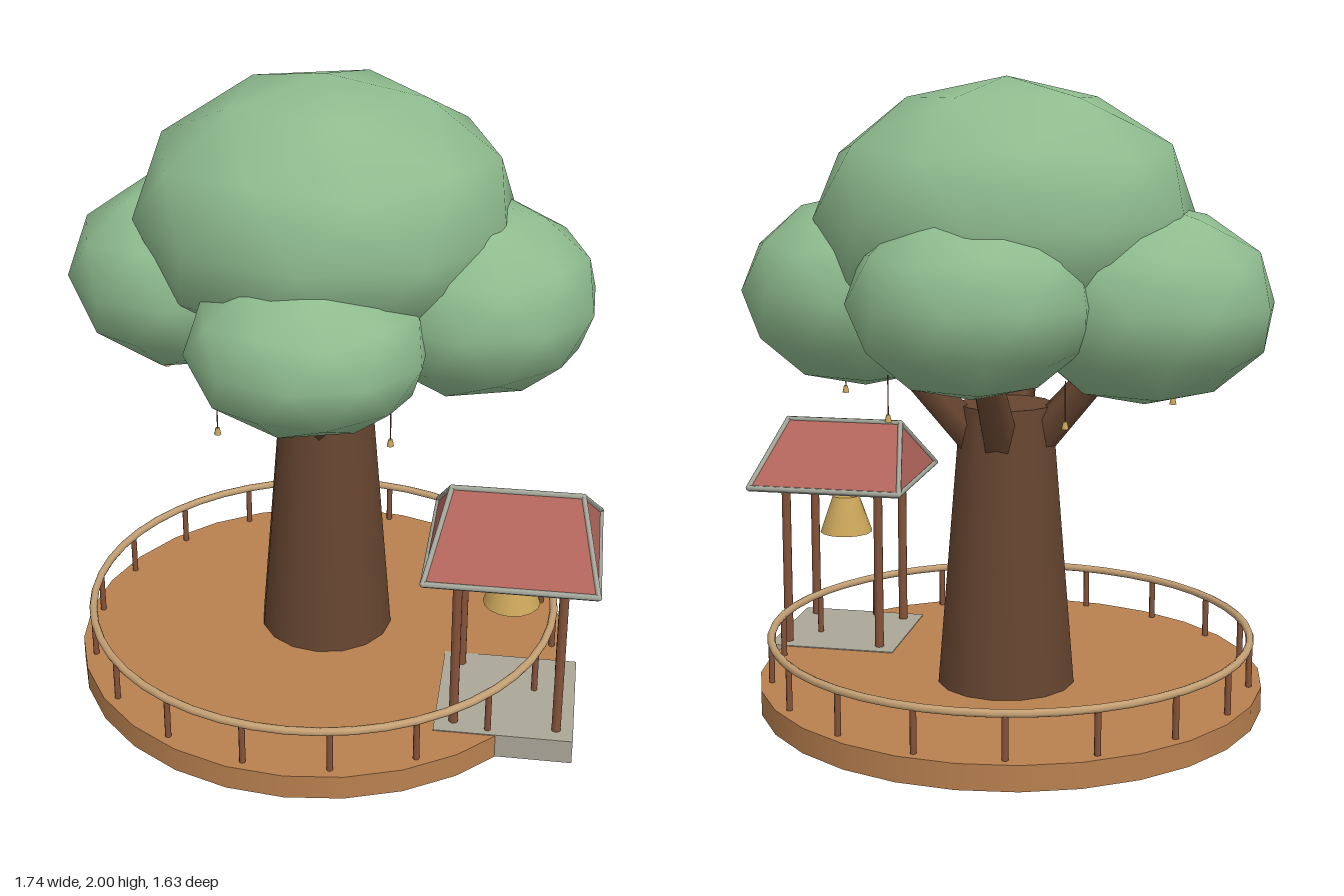
import * as THREE from 'three';

const mat = (name, color, side = THREE.FrontSide) => {
  const m = new THREE.MeshStandardMaterial({ color, side });
  m.name = name;
  return m;
};

export function createModel() {
  const leaf = mat('leaf green', 0x8fbc8f);
  const bark = mat('bark brown', 0x664530);
  const deck = mat('deck brown', 0xb9804f);
  const railWood = mat('pale rail wood', 0xc4a074);
  const postWood = mat('post wood', 0x85533a);
  const stone = mat('stone grey', 0xaba698);
  const roofRed = mat('roof red', 0xb0645a, THREE.DoubleSide);
  const trimGrey = mat('trim grey', 0xa5a89c);
  const gold = mat('bell gold', 0xc9a55a, THREE.DoubleSide);

  const model = new THREE.Group();
  model.name = 'treeDeckWithBellPavilion';

  const add = (name, geo, material, x = 0, y = 0, z = 0, parent = model) => {
    const m = new THREE.Mesh(geo, material);
    m.name = name;
    m.position.set(x, y, z);
    parent.add(m);
    return m;
  };
  // Cylinder running between two points
  const rod = (name, a, b, r0, r1, sides, material, parent = model) => {
    const p = new THREE.Vector3(...a), q = new THREE.Vector3(...b);
    const d = q.clone().sub(p);
    const m = add(name, new THREE.CylinderGeometry(r1, r0, d.length(), sides), material,
      ...p.clone().add(q).multiplyScalar(0.5).toArray(), parent);
    m.quaternion.setFromUnitVectors(new THREE.Vector3(0, 1, 0), d.normalize());
    return m;
  };

  // Round deck
  const cx = -0.045;
  add('deck', new THREE.CylinderGeometry(0.815, 0.815, 0.08, 28), deck, cx, 0.04, 0);

  // Railing
  const railing = new THREE.Group();
  railing.name = 'railing';
  model.add(railing);
  add('handrail', new THREE.TorusGeometry(0.775, 0.013, 8, 48).rotateX(Math.PI / 2), railWood, cx, 0.22, 0, railing);
  for (let i = 0; i < 18; i++) {
    const a = (i * Math.PI) / 9;
    add('railPost', new THREE.CylinderGeometry(0.01, 0.01, 0.14, 8), postWood,
      cx + 0.775 * Math.cos(a), 0.145, 0.775 * Math.sin(a), railing);
  }

  // Trunk and four spreading branches
  const tz = -0.07;
  add('trunk', new THREE.CylinderGeometry(0.147, 0.222, 0.91, 16), bark, cx, 0.53, tz);
  for (const deg of [90, -25, 190, -90]) {
    const a = THREE.MathUtils.degToRad(deg), c = Math.cos(a), s = Math.sin(a);
    rod('branch', [cx + 0.11 * c, 0.88, tz + 0.11 * s], [cx + 0.38 * c, 1.19, tz + 0.38 * s],
      0.06, 0.045, 5, bark);
  }

  // Canopy: faceted balls with a corner pointing straight up
  const ball = new THREE.IcosahedronGeometry(1, 1).rotateZ(-Math.atan(2 / (1 + Math.sqrt(5))));
  const canopy = new THREE.Group();
  canopy.name = 'canopy';
  model.add(canopy);
  for (const [name, pos, size] of [
    ['crown', [cx, 1.57, -0.07], [0.6, 0.43, 0.57]],
    ['rightFoliage', [-0.49, 1.32, -0.14], [0.4, 0.31, 0.38]],
    ['leftFoliage', [0.425, 1.33, -0.03], [0.39, 0.31, 0.385]],
    ['frontFoliage', [cx, 1.27, 0.31], [0.373, 0.26, 0.335]],
    ['backFoliage', [-0.01, 1.345, -0.415], [0.375, 0.29, 0.36]],
  ]) add(name, ball, leaf, ...pos, canopy).scale.set(...size);

  // Six little chimes hanging in a ring below the leaves
  for (let i = 0; i < 6; i++) {
    const a = (i * Math.PI) / 3;
    const x = cx + 0.525 * Math.cos(a), z = tz + 0.525 * Math.sin(a);
    add('chimeString', new THREE.CylinderGeometry(0.002, 0.002, 0.12, 5), postWood, x, 1.08, z);
    add('chime', new THREE.CylinderGeometry(0.006, 0.011, 0.022, 8), gold, x, 1.011, z);
  }

  // Bell pavilion
  const pavilion = new THREE.Group();
  pavilion.name = 'bellPavilion';
  pavilion.position.set(0.6, 0, 0.308);
  model.add(pavilion);
  add('stoneBase', new THREE.BoxGeometry(0.435, 0.081, 0.435), stone, -0.003, 0.0425, 0, pavilion);
  for (const x of [-0.161, 0.161])
    for (const z of [-0.161, 0.161])
      add('pavilionPost', new THREE.CylinderGeometry(0.015, 0.015, 0.56, 10), postWood, x, 0.36, z, pavilion);

  // Hipped roof with a short ridge along x
  const e = 0.26, r = 0.2, y0 = 0.64, y1 = 0.83;
  const A = [-e, y0, e], B = [e, y0, e], C = [e, y0, -e], D = [-e, y0, -e];
  const L = [-r, y1, 0], R = [r, y1, 0];
  const roof = new THREE.BufferGeometry();
  roof.setAttribute('position', new THREE.Float32BufferAttribute(
    [A, B, R, A, R, L, C, D, L, C, L, R, B, C, R, D, A, L].flat(), 3));
  roof.computeVertexNormals();
  add('roof', roof, roofRed, 0, 0, 0, pavilion);
  add('roofUnderside', new THREE.BoxGeometry(2 * e, 0.012, 2 * e), trimGrey, 0, 0.634, 0, pavilion);
  for (const [p, q] of [[A, B], [B, C], [C, D], [D, A], [A, L], [D, L], [B, R], [C, R], [L, R]])
    rod('roofTrim', p, q, 0.009, 0.009, 6, trimGrey, pavilion);
  for (const p of [A, B, C, D, L, R])
    add('trimJoint', new THREE.SphereGeometry(0.0095, 8, 6), trimGrey, ...p, pavilion);

  // Hanging bell
  add('bell', new THREE.CylinderGeometry(0.046, 0.09, 0.127, 16), gold, -0.002, 0.503, 0, pavilion);

  return model;
}
